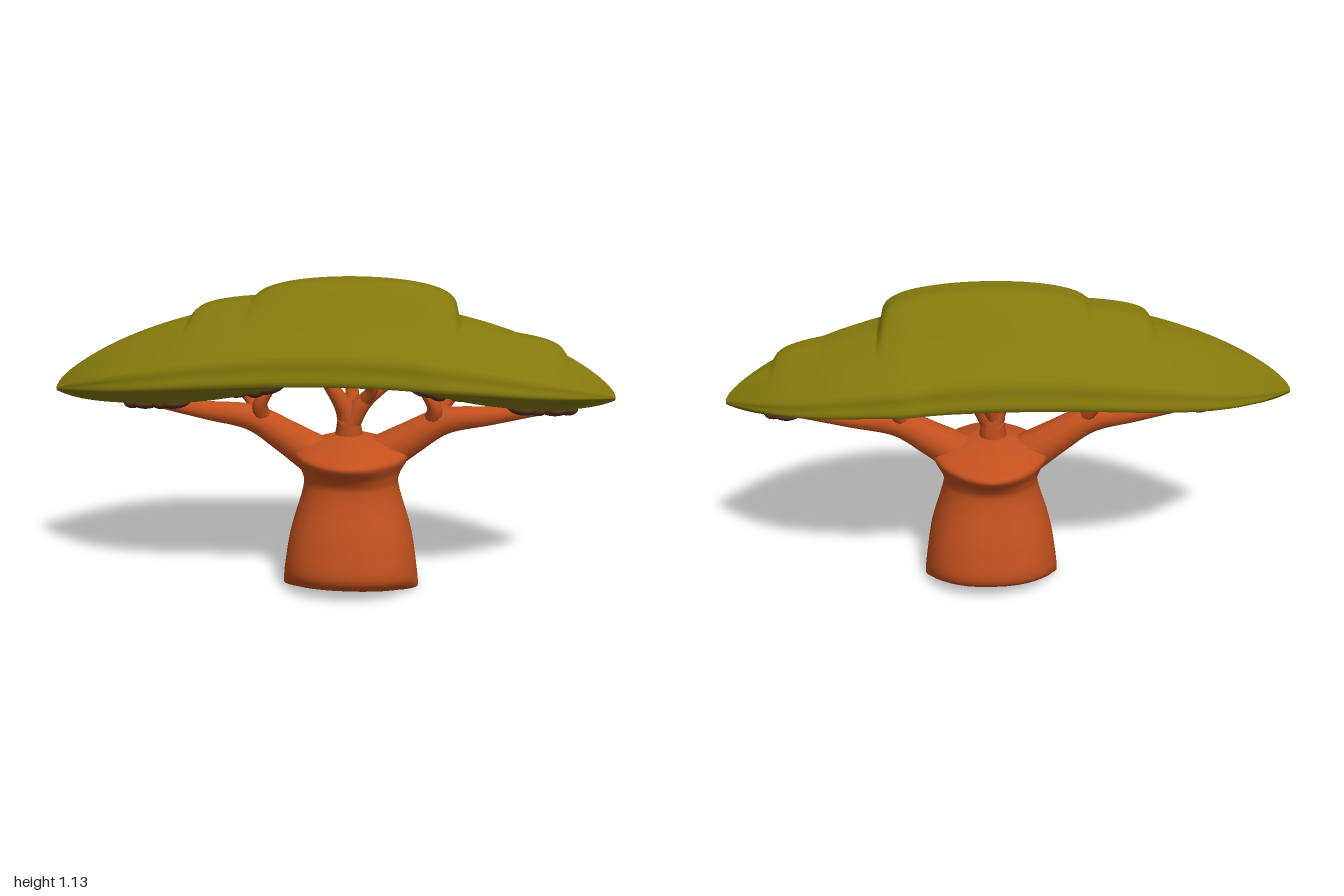
import * as THREE from 'three';

const bark = new THREE.MeshStandardMaterial({ name: 'bark', color: 0xc4511e });
const leaf = new THREE.MeshStandardMaterial({ name: 'foliage', color: 0x84790c });
const dark = new THREE.MeshStandardMaterial({ name: 'darkTwigs', color: 0x54321e });

// Skin a list of closed rings of [x, y, z] and close both ends.
function loft(rings) {
  const n = rings[0].length, last = rings.length - 1, pos = rings.flat(2), idx = [];
  for (let i = 0; i < last; i++) for (let j = 0; j < n; j++) {
    const a = i * n + j, b = i * n + (j + 1) % n;
    idx.push(a, b, a + n, b, b + n, a + n);
  }
  for (const end of [0, last]) {
    const c = pos.length / 3;
    for (let k = 0; k < 3; k++) pos.push(rings[end].reduce((s, p) => s + p[k], 0) / n);
    for (let j = 0; j < n; j++) {
      const a = end * n + j, b = end * n + (j + 1) % n;
      idx.push(c, ...(end ? [a, b] : [b, a]));
    }
  }
  const g = new THREE.BufferGeometry();
  g.setAttribute('position', new THREE.Float32BufferAttribute(pos, 3));
  g.setIndex(idx);
  g.computeVertexNormals();
  return g;
}

// Dome height at x between two ends; a low power gives steep sides.
function dome(x, x0, x1, base, height, power) {
  const u = (2 * x - x0 - x1) / (x1 - x0);
  return Math.abs(u) > 1 ? 0 : base + height * (1 - u * u) ** power;
}

// Canopy: overlapping domes make the stepped ridge, which fades into one smooth dome at the sides.
const ridgeTop = (x) => Math.max(
  dome(x, -1, 1, 0.73, 0.32, 0.75),
  dome(x, -0.735, 0.825, 0.83, 0.14, 0.25),
  dome(x, -0.485, 0.44, 0.98, 0.09, 0.3),
  dome(x, -0.285, 0.445, 1.0, 0.13, 0.3));
const sideTop = (x) => dome(x, -1, 1, 0.73, 0.4, 0.95);

// The underside is lowest near the ends and arches up over the trunk.
const canopyUnder = (x) => {
  const d = Math.abs(x - 0.06);
  return 0.675 + 0.12 * Math.exp(-((d / 0.36) ** 2)) + 0.035 * Math.abs(x) ** 12;
};

function canopyGeometry() {
  // Half section: share of depth, and height from top (1) through rim (0) to underside (-1)
  const half = new THREE.SplineCurve([[0, 1], [0.2, 0.98], [0.45, 0.75], [0.7, 0.51], [0.95, 0.32],
    [0.98, 0.15], [1, 0], [0.85, -0.2], [0.5, -0.62], [0.3, -0.9], [0, -1]]
    .map(([d, h]) => new THREE.Vector2(d, h))).getPoints(30);
  const mirrored = half.slice(1, -1).reverse().map((p) => new THREE.Vector2(-p.x, p.y));
  const section = [...half, ...mirrored];
  return loft(Array.from({ length: 201 }, (_, i) => {
    const x = -1 + i / 100;
    const rim = 0.81 - 0.09 * x * x;
    const depth = 0.012 + 0.326 * (1 - x ** 4) ** 1.1 + 0.012 * Math.exp(-(((x - 0.37) / 0.08) ** 2));
    const drop = rim - canopyUnder(x);
    return section.map((p) => {
      const fade = THREE.MathUtils.smoothstep(Math.abs(p.x), 0.15, 0.65);
      const rise = THREE.MathUtils.lerp(ridgeTop(x), sideTop(x), fade) - rim;
      return [x, rim + p.y * (p.y > 0 ? rise : drop), p.x * depth];
    });
  }));
}

// Trunk: pinched at the foot, narrow at the neck, flared at the crown.
function trunkGeometry() {
  // height, half width, half depth
  const stations = [[0, 0.25, 0.08], [0.03, 0.248, 0.165], [0.08, 0.242, 0.232], [0.2, 0.223, 0.222],
    [0.4, 0.17, 0.176], [0.44, 0.18, 0.195], [0.5, 0.21, 0.246], [0.53, 0.175, 0.18], [0.57, 0.06, 0.06]];
  const curve = new THREE.CatmullRomCurve3(stations.map((s) => new THREE.Vector3(...s)));
  return loft(curve.getPoints(48).map((s) => Array.from({ length: 40 }, (_, j) => {
    const a = j / 40 * Math.PI * 2;
    const power = THREE.MathUtils.lerp(0.85, 1.15, THREE.MathUtils.smoothstep(s.x, 0.4, 0.5));
    const bulge = (v) => Math.sign(v) * Math.abs(v) ** power;
    return [0.075 + bulge(Math.sin(a)) * s.y, s.x, bulge(Math.cos(a)) * s.z];
  })));
}

// A tube through the points that narrows quickly at first from radius r0 to r1.
function taperedTube(points, r0, r1) {
  const curve = new THREE.CatmullRomCurve3(points);
  const segs = 24, sides = 12, g = new THREE.TubeGeometry(curve, segs, r0, sides);
  const p = g.attributes.position, v = new THREE.Vector3();
  for (let i = 0; i < p.count; i++) {
    const t = Math.floor(i / (sides + 1)) / segs, c = curve.getPointAt(t);
    v.fromBufferAttribute(p, i).sub(c).multiplyScalar(THREE.MathUtils.lerp(1, r1 / r0, t ** 0.7)).add(c);
    p.setXYZ(i, v.x, v.y, v.z);
  }
  return g;
}

// Side limb and its forks, mirrored across the trunk: points, start radius.
const SIDE = [
  [[[0.02, 0.44, 0], [-0.16, 0.555, 0], [-0.28, 0.622, 0], [-0.45, 0.647, 0], [-0.67, 0.68, 0]], 0.095],
  [[[-0.24, 0.61, 0], [-0.25, 0.68, 0.035], [-0.21, 0.745, 0.04]], 0.04],
  [[[-0.26, 0.62, 0], [-0.29, 0.68, -0.035], [-0.33, 0.72, -0.04]], 0.036],
  [[[-0.45, 0.647, 0], [-0.5, 0.67, 0], [-0.56, 0.695, 0.02]], 0.024],
];
// Middle limb and its forks.
const MIDDLE = [
  [[[0.06, 0.48, 0], [0.06, 0.64, 0], [-0.03, 0.79, 0.02]], 0.07],
  [[[0.06, 0.6, 0], [0.12, 0.69, 0], [0.23, 0.775, -0.02]], 0.046],
  [[[0.06, 0.62, 0], [0.075, 0.7, -0.03], [0.06, 0.8, -0.07]], 0.036],
  [[[0.12, 0.69, 0], [0.15, 0.74, 0.03], [0.15, 0.8, 0.07]], 0.028],
];

export function createModel() {
  const tree = new THREE.Group();
  tree.name = 'tree';
  const branches = new THREE.Group(), tufts = new THREE.Group();
  branches.name = 'branches';
  tufts.name = 'twigTufts';
  tree.add(branches, tufts);

  const add = (geometry, material, name, parent) => {
    const mesh = new THREE.Mesh(geometry, material);
    mesh.name = name;
    parent.add(mesh);
    return mesh;
  };
  add(canopyGeometry(), leaf, 'canopy', tree);
  add(trunkGeometry(), bark, 'trunk', tree);

  // A flattened tuft of dark twigs that follows the slope of the underside.
  const ball = new THREE.SphereGeometry(1, 18, 12);
  const addTuft = (x, z, width, depth) => {
    const tuft = add(ball, dark, 'twigTuft', tufts);
    tuft.position.set(x, canopyUnder(x) + 0.12 * Math.abs(z) - 0.002, z);
    tuft.rotation.z = Math.atan((canopyUnder(x + 0.02) - canopyUnder(x - 0.02)) / 0.04);
    tuft.scale.set(width, 0.024, depth);
  };

  // Each branch ends in a tuft with a smaller one beside it.
  const grow = (list, place, depth) => {
    for (const [points, radius] of list) {
      const path = points.map(place), tip = path[path.length - 1];
      add(taperedTube(path, radius, 0.018), bark, 'branch', branches);
      addTuft(tip.x, tip.z, 0.055, depth);
      addTuft(tip.x + Math.sign(tip.x - 0.06) * 0.05, tip.z * 1.4, 0.035, depth * 0.7);
    }
  };
  grow(SIDE, ([x, y, z]) => new THREE.Vector3(x, y, z), 0.06);
  grow(SIDE, ([x, y, z]) => new THREE.Vector3(0.12 - x, y, z), 0.06);
  grow(MIDDLE, ([x, y, z]) => new THREE.Vector3(x, y, z), 0.09);
  // Broad patch over the trunk.
  addTuft(0.11, 0, 0.14, 0.15);
  return tree;
}
